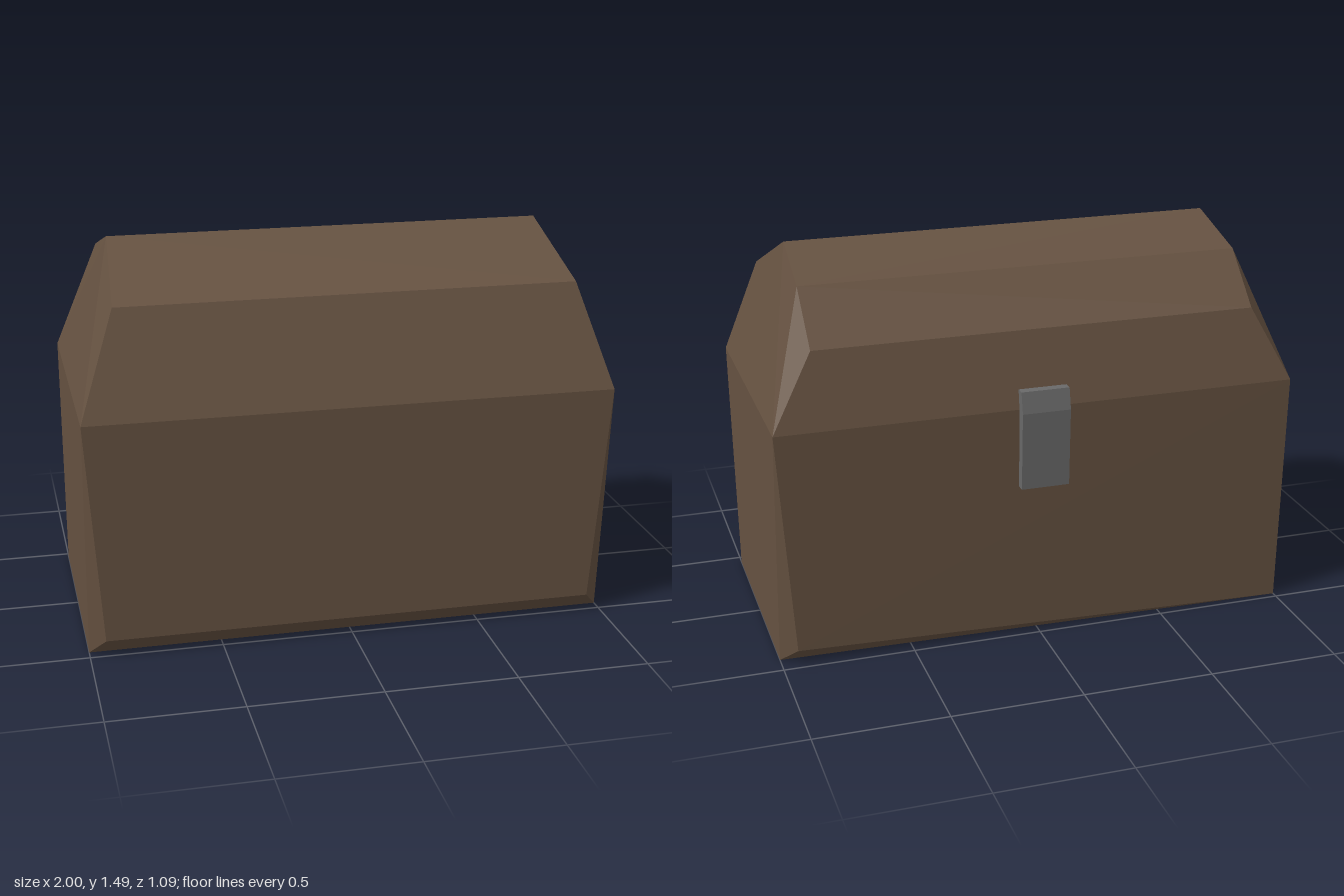
import * as THREE from 'three';
import { ConvexGeometry } from 'three/addons/geometries/ConvexGeometry.js';

export function createModel() {
  const wood = new THREE.MeshStandardMaterial({ color: 0x665241, flatShading: true });
  wood.name = 'brown wood';
  const metal = new THREE.MeshStandardMaterial({ color: 0x696969, flatShading: true });
  metal.name = 'grey metal';

  const chest = new THREE.Group();
  chest.name = 'chest';

  // Chest body and vaulted lid: long edges as [y, z, left x, right x]
  const edges = [
    [0, 0.455, 1, -1],          // front foot
    [0.07, 0.52, 0.94, -0.94],  // front bevel
    [0.92, 0.545, 1, -1],       // front rim
    [1.31, 0.405, 0.88, -0.86], // front shoulder
    [1.485, 0.03, 0.835, -0.835], // ridge
    [1.395, -0.255, 0.845, -0.85],
    [1.21, -0.435, 0.84, -0.855],
    [0.93, -0.507, 1, -1],      // back rim
  ];
  const points = edges.flatMap(([y, z, l, r]) =>
    [new THREE.Vector3(l, y, z), new THREE.Vector3(r, y, z)]);
  // Back foot: the bevel runs out towards the right end
  points.push(
    new THREE.Vector3(1, 0, -0.42),
    new THREE.Vector3(0.94, 0.06, -0.482),
    new THREE.Vector3(-1, 0, -0.475),
  );
  const body = new THREE.Mesh(new ConvexGeometry(points), wood);
  body.name = 'chestBody';
  chest.add(body);

  // Bent latch plate on the back, drawn as (-z, y) and extruded along x
  const profile = [
    [0.505, 0.625], [0.54, 0.625], [0.548, 0.925],
    [0.53, 1.005], [0.495, 1.005], [0.51, 0.92],
  ].map(([d, y]) => new THREE.Vector2(d, y));
  const latchGeometry = new THREE.ExtrudeGeometry(new THREE.Shape(profile), { depth: 0.185, bevelEnabled: false });
  latchGeometry.rotateY(Math.PI / 2).translate(-0.095, 0, 0);
  const latch = new THREE.Mesh(latchGeometry, metal);
  latch.name = 'latch';
  chest.add(latch);

  return chest;
}
